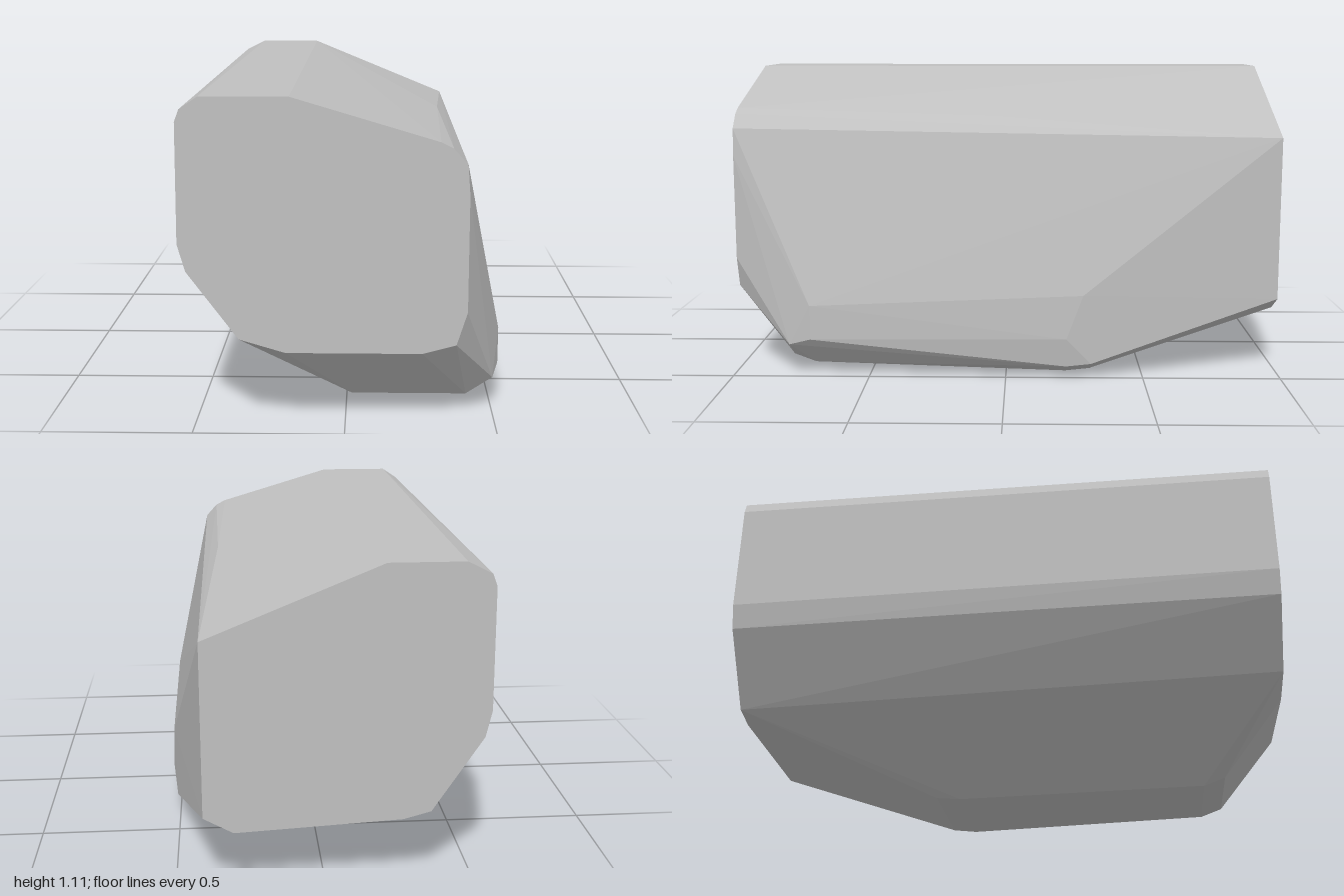
import * as THREE from 'three';
import { ConvexGeometry } from 'three/addons/geometries/ConvexGeometry.js';

// Cross-sections of the faceted block, each at a depth z, as [x, y] outlines
const sections = [
  // front cap
  { z: 1, outline: [
    [-0.53, 0.64], [-0.525, 1.03], [-0.51, 1.07], [-0.45, 1.11], [-0.17, 1.11],
    [0.3, 0.97], [0.34, 0.95], [0.385, 0.9], [0.393, 0.8], [0.394, 0.42],
    [0.36, 0.31], [0.25, 0.28], [-0.19, 0.28], [-0.34, 0.325], [-0.505, 0.55]] },
  // front bevel of the keel
  { z: 0.79, outline: [[0.02, 0.06], [0.41, 0.06], [0.5, 0.12]] },
  { z: 0.71, outline: [[0.02, 0.03], [0.41, 0.03], [0.525, 0.145], [0.525, 0.27]] },
  // upper right ridge
  { z: 0.05, outline: [[0.337, 0.945]] },
  // rear bevel of the keel
  { z: -0.22, outline: [[0, 0.007], [0.41, 0], [0.51, 0.045], [0.525, 0.15]] },
  { z: -0.28, outline: [[0.518, 0.31]] },
  { z: -0.31, outline: [[0, 0.015], [0.41, 0.01], [0.51, 0.055]] },
  // back cap
  { z: -1, outline: [
    [-0.53, 0.62], [-0.525, 1.03], [-0.51, 1.07], [-0.43, 1.11], [-0.18, 1.11],
    [0.405, 0.87], [0.405, 0.275], [0.305, 0.22], [-0.25, 0.25],
    [-0.342, 0.275], [-0.51, 0.53]] },
];

export function createModel() {
  const group = new THREE.Group();
  group.name = 'facetedBlock';

  const stone = new THREE.MeshStandardMaterial({ color: 0xc0c0c0 });
  stone.name = 'grey stone';

  // One convex, flat-faced body stretched over all the sections
  const points = sections.flatMap(({ z, outline }) =>
    outline.map(([x, y]) => new THREE.Vector3(x, y, z)));
  const body = new THREE.Mesh(new ConvexGeometry(points), stone);
  body.name = 'stoneBody';
  group.add(body);

  return group;
}
